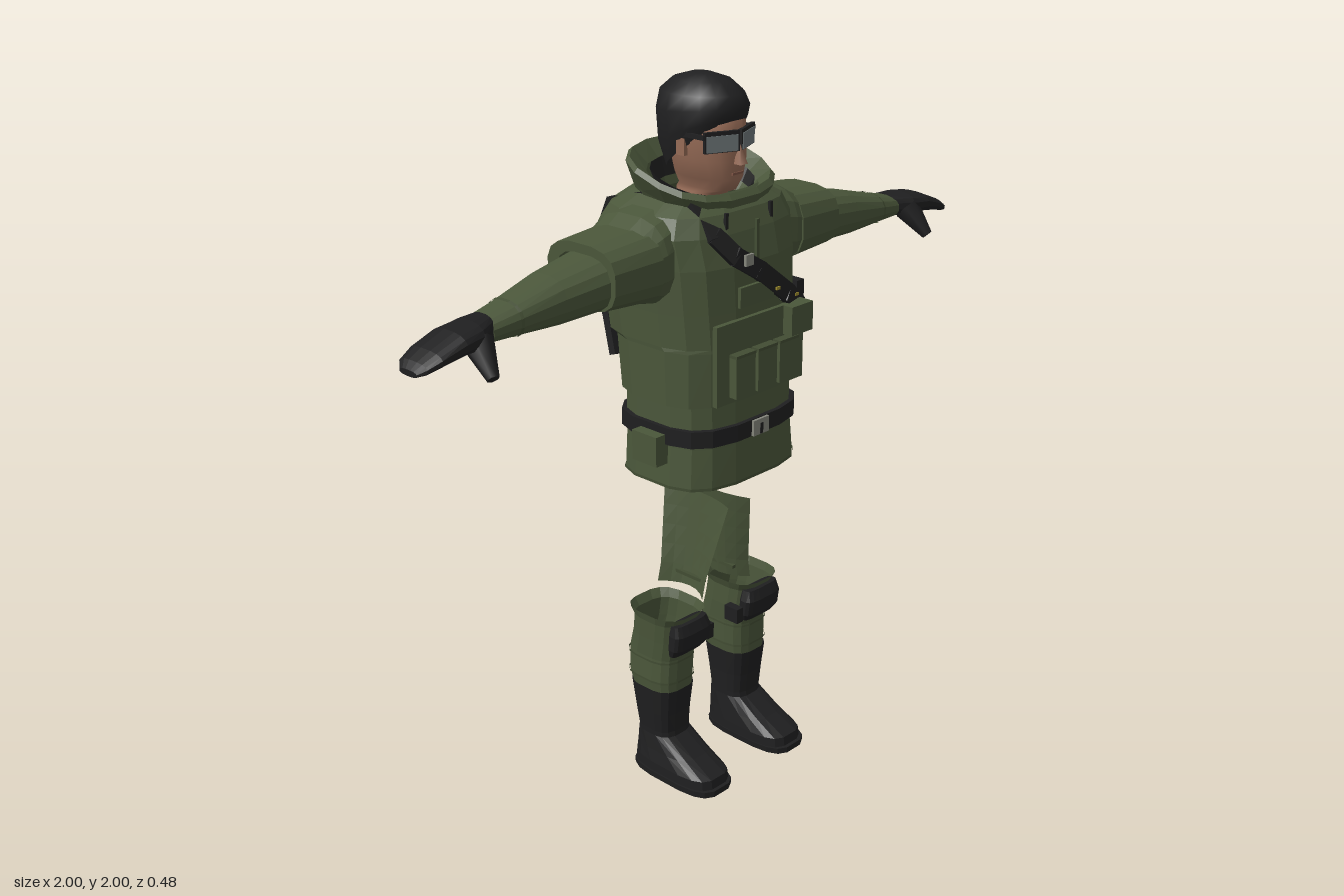
import * as THREE from 'three';

const mat = (name, color) => {
  const m = new THREE.MeshStandardMaterial({ color, side: THREE.DoubleSide });
  m.name = name;
  return m;
};

// Boxy ring of points around the y or x axis; u and v are ranges (x,z or y,z).
function ring(axis, t, u0, u1, v0, v1, p, tilt = 0, n = 16) {
  const pts = [];
  const pw = (a) => Math.sign(a) * Math.pow(Math.abs(a), p);
  for (let i = 0; i < n; i++) {
    const a = ((i + 0.5) / n) * Math.PI * 2;
    const u = (u0 + u1) / 2 + ((u1 - u0) / 2) * pw(Math.cos(a));
    const s = axis === 'y' ? 1 : -1;
    const v = (v0 + v1) / 2 + s * ((v1 - v0) / 2) * pw(Math.sin(a));
    pts.push(axis === 'y' ? [u, t + tilt * v, v] : [t, u, v]);
  }
  return pts;
}

// Skin rings into a flat-shaded (or smooth) surface with optional end caps.
function loft(rings, { start = false, end = false, smooth = false } = {}) {
  const n = rings[0].length, pos = rings.flat(2), idx = [];
  for (let r = 0; r < rings.length - 1; r++)
    for (let i = 0; i < n; i++) {
      const a = r * n + i, b = r * n + ((i + 1) % n);
      idx.push(a, a + n, b, b, a + n, b + n);
    }
  const last = (rings.length - 1) * n;
  for (let i = 1; i < n - 1; i++) {
    if (start) idx.push(0, i, i + 1);
    if (end) idx.push(last, last + i + 1, last + i);
  }
  let g = new THREE.BufferGeometry();
  g.setAttribute('position', new THREE.Float32BufferAttribute(pos, 3));
  g.setIndex(idx);
  if (!smooth) g = g.toNonIndexed();
  g.computeVertexNormals();
  return g;
}

// Rows are [t, u0, u1, v0, v1, tilt]
const tube = (axis, rows, p, opt) => loft(rows.map((r) => ring(axis, r[0], r[1], r[2], r[3], r[4], p, r[5])), opt);
// Rows symmetric in x: [y, halfWidth, back, front, tilt]
const body = (rows, p, opt) => tube('y', rows.map(([y, w, b, f, t]) => [y, -w, w, b, f, t]), p, opt);

function mirrored(geo) {
  const g = geo.clone();
  g.scale(-1, 1, 1);
  for (const key of ['position', 'normal']) {
    const a = g.attributes[key], v = new THREE.Vector3(), w = new THREE.Vector3();
    for (let i = 0; i < a.count; i += 3) {
      v.fromBufferAttribute(a, i + 1);
      w.fromBufferAttribute(a, i + 2);
      a.setXYZ(i + 1, w.x, w.y, w.z);
      a.setXYZ(i + 2, v.x, v.y, v.z);
    }
  }
  return g;
}

export function createModel() {
  const model = new THREE.Group();
  model.name = 'soldier';
  const green = mat('olive cloth', 0x4a563a), dark = mat('dark olive cloth', 0x424d33);
  const black = mat('black gear', 0x1f1f20), hairMat = mat('hair', 0x202021);
  const skin = mat('skin', 0x966b56), lips = mat('lips', 0x7d5344), lens = mat('lens grey', 0x6d7678);
  const metal = mat('buckle metal', 0x85867c), yellow = mat('yellow tag', 0x9a8a2c);

  const add = (name, geo, m) => {
    const mesh = new THREE.Mesh(geo, m);
    mesh.name = name;
    model.add(mesh);
    return mesh;
  };
  const both = (name, geo, m) => {
    add(name + 'Left', geo, m);
    add(name + 'Right', mirrored(geo), m);
  };
  const boxGeo = (w, h, d, x, y, z) => new THREE.BoxGeometry(w, h, d).toNonIndexed().translate(x, y, z);
  const box = (name, m, ...a) => add(name, boxGeo(...a), m);

  // Jacket: open skirt and padded vest with an overhanging back
  add('jacketSkirt', body([[0.935, 0.23, -0.155, 0.2], [1.05, 0.22, -0.155, 0.195], [1.2, 0.218, -0.155, 0.19]], 0.62), green);
  add('jacketHem', body([[0.935, 0.232, -0.157, 0.202], [0.943, 0.232, -0.157, 0.202]], 0.62), dark);
  add('vest', body([
    [1.17, 0.218, -0.155, 0.185], [1.17, 0.232, -0.165, 0.197], [1.32, 0.233, -0.182, 0.2], [1.33, 0.234, -0.212, 0.2],
    [1.42, 0.238, -0.224, 0.195], [1.54, 0.245, -0.242, 0.19], [1.62, 0.25, -0.236, 0.17],
    [1.67, 0.225, -0.205, 0.15], [1.71, 0.15, -0.16, 0.11]], 0.64), green);

  // Raised collar, low at the front, with a folded inner lip
  add('collar', body([
    [1.655, 0.15, -0.16, 0.125, -0.15], [1.7, 0.175, -0.17, 0.14, -0.22], [1.748, 0.205, -0.172, 0.152, -0.32],
    [1.76, 0.195, -0.162, 0.14, -0.32], [1.73, 0.15, -0.13, 0.118, -0.27], [1.68, 0.11, -0.11, 0.1, -0.1]], 0.8), green);
  add('collarLining', body([[1.737, 0.142, -0.122, 0.112, -0.27], [1.7, 0.122, -0.112, 0.105, -0.15]], 0.8), black);
  both('drawcord', boxGeo(0.01, 0.06, 0.008, 0.085, 1.645, 0.158), black);

  // Belt, buckle and belt pouches
  add('belt', body([[1.06, 0.222, -0.155, 0.196], [1.06, 0.232, -0.168, 0.206],
    [1.107, 0.232, -0.168, 0.206], [1.107, 0.218, -0.153, 0.193]], 0.62), black);
  box('buckle', metal, 0.06, 0.044, 0.008, 0, 1.083, 0.208);
  box('buckleBar', black, 0.01, 0.03, 0.006, 0, 1.078, 0.211);
  box('beltPouchBack', green, 0.09, 0.09, 0.06, 0.15, 1.04, -0.18);
  box('beltPouchSide', green, 0.05, 0.085, 0.09, -0.238, 1.045, 0.03);

  // Chest rig: panel, magazine pouches and flaps
  box('chestPanel', green, 0.34, 0.22, 0.015, 0, 1.29, 0.199);
  for (const x of [-0.085, 0, 0.085]) {
    box('magazinePouch', green, 0.074, 0.115, 0.03, x, 1.255, 0.216);
    box('pouchFlap', dark, 0.076, 0.008, 0.033, x, 1.312, 0.216);
  }
  box('utilityPouch', green, 0.085, 0.08, 0.045, 0.13, 1.36, 0.215);
  box('chestPocket', green, 0.13, 0.055, 0.01, -0.01, 1.455, 0.196);
  box('zipPlacket', dark, 0.01, 0.16, 0.008, 0, 1.57, 0.188);

  // Webbing rows on the lower back
  for (let i = 0; i < 4; i++) box('backWebbing', green, 0.28, 0.018, 0.014, 0, 1.2 + i * 0.033, -0.166 - i * 0.004);

  // Sling made of short segments, each given its outward direction
  const sling = (pts, w) => {
    for (let i = 0; i < pts.length - 1; i++) {
      const a = new THREE.Vector3(...pts[i].slice(0, 3)), b = new THREE.Vector3(...pts[i + 1].slice(0, 3));
      const seg = add('slingSegment', new THREE.BoxGeometry(w, 0.022, a.distanceTo(b) + 0.012), black);
      seg.position.copy(a).lerp(b, 0.5);
      seg.up.set(...pts[i].slice(3));
      seg.lookAt(b);
    }
  };
  sling([[-0.13, 1.7, 0.09, 0, 0.7, 0.7], [-0.125, 1.62, 0.157, 0, 0.1, 1], [-0.08, 1.565, 0.186, 0, 0, 1],
    [0, 1.515, 0.195, 0, 0, 1], [0.11, 1.43, 0.198, 0.2, 0, 1], [0.19, 1.37, 0.17, 0.7, 0, 0.7],
    [0.235, 1.32, 0.115, 1, 0, 0.2], [0.24, 1.25, 0.065, 1, 0, 0]], 0.05);
  sling([[-0.13, 1.7, 0.09, 0, 1, 0], [-0.14, 1.7, -0.05, 0, 1, 0], [-0.145, 1.66, -0.187, 0, 0.7, -0.7],
    [-0.15, 1.58, -0.22, 0, 0, -1], [-0.155, 1.46, -0.216, 0, 0, -1], [-0.16, 1.35, -0.195, 0, 0, -1],
    [-0.175, 1.25, -0.155, 0, 0, -1]], 0.046);
  box('slingClip', metal, 0.03, 0.03, 0.008, -0.05, 1.555, 0.206);
  box('sideHolster', black, 0.03, 0.07, 0.07, 0.228, 1.39, 0.11);
  for (const [x, y, z] of [[0.06, 1.455, 0.209], [0.15, 1.415, 0.196], [-0.155, 1.5, -0.231]])
    box('slingTag', yellow, 0.014, 0.008, 0.008, x, y, z);

  // Sleeves and cuffs
  both('shoulder', tube('x', [[0.17, 1.45, 1.69, -0.15, 0.1], [0.25, 1.44, 1.672, -0.16, 0.115],
    [0.3, 1.455, 1.645, -0.145, 0.11]], 0.75), green);
  both('upperSleeve', tube('x', [[0.27, 1.465, 1.64, -0.13, 0.105], [0.27, 1.455, 1.65, -0.145, 0.118],
    [0.43, 1.465, 1.635, -0.14, 0.11], [0.43, 1.475, 1.61, -0.105, 0.09]], 0.7), green);
  both('forearm', tube('x', [[0.42, 1.465, 1.612, -0.105, 0.095], [0.56, 1.46, 1.588, -0.085, 0.078],
    [0.7, 1.468, 1.552, -0.06, 0.066], [0.775, 1.47, 1.535, -0.05, 0.058]], 0.85, { end: true }), green);
  both('cuffBand', tube('x', [[0.69, 1.465, 1.557, -0.064, 0.07], [0.698, 1.466, 1.554, -0.062, 0.068]], 0.85), dark);

  // Gloved hands with thumb
  both('glove', tube('x', [[0.765, 1.475, 1.54, -0.04, 0.05], [0.82, 1.468, 1.54, -0.042, 0.082],
    [0.88, 1.472, 1.53, -0.044, 0.09], [0.95, 1.462, 1.502, -0.042, 0.085], [0.985, 1.452, 1.482, -0.034, 0.072],
    [1.0, 1.448, 1.464, -0.015, 0.05]], 0.8, { start: true, end: true }), black);
  both('thumb', new THREE.CylinderGeometry(0.04, 0.016, 0.1, 7).toNonIndexed().rotateX(-0.75).rotateZ(0.2)
    .translate(0.828, 1.457, 0.085), black);

  // Head, nose, mouth and ears
  add('head', body([[1.64, 0.06, -0.075, 0.045], [1.7, 0.055, -0.08, 0.07], [1.71, 0.045, -0.08, 0.105],
    [1.74, 0.066, -0.085, 0.118], [1.79, 0.084, -0.09, 0.12], [1.85, 0.09, -0.1, 0.117], [1.92, 0.087, -0.1, 0.112]],
  0.9, { end: true, smooth: true }), skin);
  add('nose', new THREE.ConeGeometry(0.02, 0.05, 4).rotateY(Math.PI / 4).translate(0, 1.808, 0.127), skin);
  box('mouth', lips, 0.04, 0.006, 0.006, 0, 1.757, 0.117);
  both('ear', boxGeo(0.014, 0.045, 0.028, 0.091, 1.825, 0.008), skin);

  // Hair, low at the nape and high over the brow
  add('hair', body([[1.812, 0.09, -0.105, 0.112, 0.68], [1.86, 0.105, -0.128, 0.118, 0.36], [1.915, 0.108, -0.135, 0.125, 0.1],
    [1.955, 0.096, -0.125, 0.112], [1.985, 0.066, -0.09, 0.075], [2.0, 0.025, -0.04, 0.025]], 0.95,
  { end: true, smooth: true }), hairMat);

  // Wraparound sunglasses
  const wrap = (w, h, d, y, z) => boxGeo(w, h, d, 0, 0, z).rotateY(0.4).translate(0.047, y, 0.106);
  both('glassesFrame', wrap(0.098, 0.054, 0.01, 1.844, 0), black);
  both('glassesLens', wrap(0.088, 0.042, 0.006, 1.84, 0.004), lens);
  both('glassesArm', boxGeo(0.008, 0.012, 0.09, 0.094, 1.858, 0.045), black);

  // Inner thigh panels, curved and open, narrowing to the knee
  const thigh = new THREE.PlaneGeometry(1, 1, 6, 5).toNonIndexed();
  const tp = thigh.attributes.position;
  for (let i = 0; i < tp.count; i++) {
    const u = tp.getX(i), k = 0.5 - tp.getY(i);
    const z = u * (0.245 - 0.07 * Math.min(1, k * 1.25)) + 0.012 * (1 - k);
    tp.setXYZ(i, 0.02 + 0.04 * k + (0.1 + 0.06 * k) * u * u, 0.83 - 0.28 * k, z);
  }
  thigh.computeVertexNormals();
  both('innerThigh', thigh, green);
  both('thighStrap', boxGeo(0.012, 0.01, 0.12, 0.062, 0.585, 0), dark);

  // Lower trouser legs, open at the top
  both('trouserLeg', tube('y', [[0.27, 0.085, 0.22, -0.1, 0.06], [0.31, 0.08, 0.225, -0.112, 0.062],
    [0.38, 0.078, 0.222, -0.112, 0.065], [0.44, 0.075, 0.225, -0.095, 0.075], [0.5, 0.075, 0.23, -0.085, 0.085],
    [0.525, 0.065, 0.237, -0.1, 0.1]], 0.65), green);
  for (const y of [0.305, 0.37])
    both('trouserSeam', tube('y', [[y, 0.077, 0.227, -0.115, 0.067], [y + 0.006, 0.077, 0.227, -0.115, 0.067]], 0.65), dark);

  // Knee pads with a buckle on the inner side
  both('kneePad', tube('y', [[0.405, 0.09, 0.21, 0.055, 0.085], [0.43, 0.075, 0.218, 0.055, 0.105],
    [0.475, 0.075, 0.218, 0.058, 0.112], [0.505, 0.085, 0.212, 0.062, 0.1]], 0.6, { start: true, end: true }), black);
  both('kneeBuckle', boxGeo(0.025, 0.045, 0.05, 0.062, 0.435, 0.06), black);

  // Boots with thin soles
  both('bootShaft', tube('y', [[0.07, 0.09, 0.215, -0.08, 0.06], [0.14, 0.09, 0.215, -0.08, 0.05],
    [0.2, 0.088, 0.22, -0.09, 0.055], [0.28, 0.082, 0.226, -0.103, 0.065]], 0.65), black);
  both('bootFoot', tube('y', [[0.012, 0.08, 0.232, -0.09, 0.21], [0.045, 0.082, 0.23, -0.088, 0.205],
    [0.08, 0.086, 0.222, -0.084, 0.13], [0.125, 0.09, 0.215, -0.08, 0.05]], 0.6, { end: true }), black);
  both('bootSole', tube('y', [[0, 0.08, 0.235, -0.092, 0.22], [0.018, 0.078, 0.236, -0.093, 0.22]], 0.6,
    { start: true, end: true }), black);

  return model;
}
